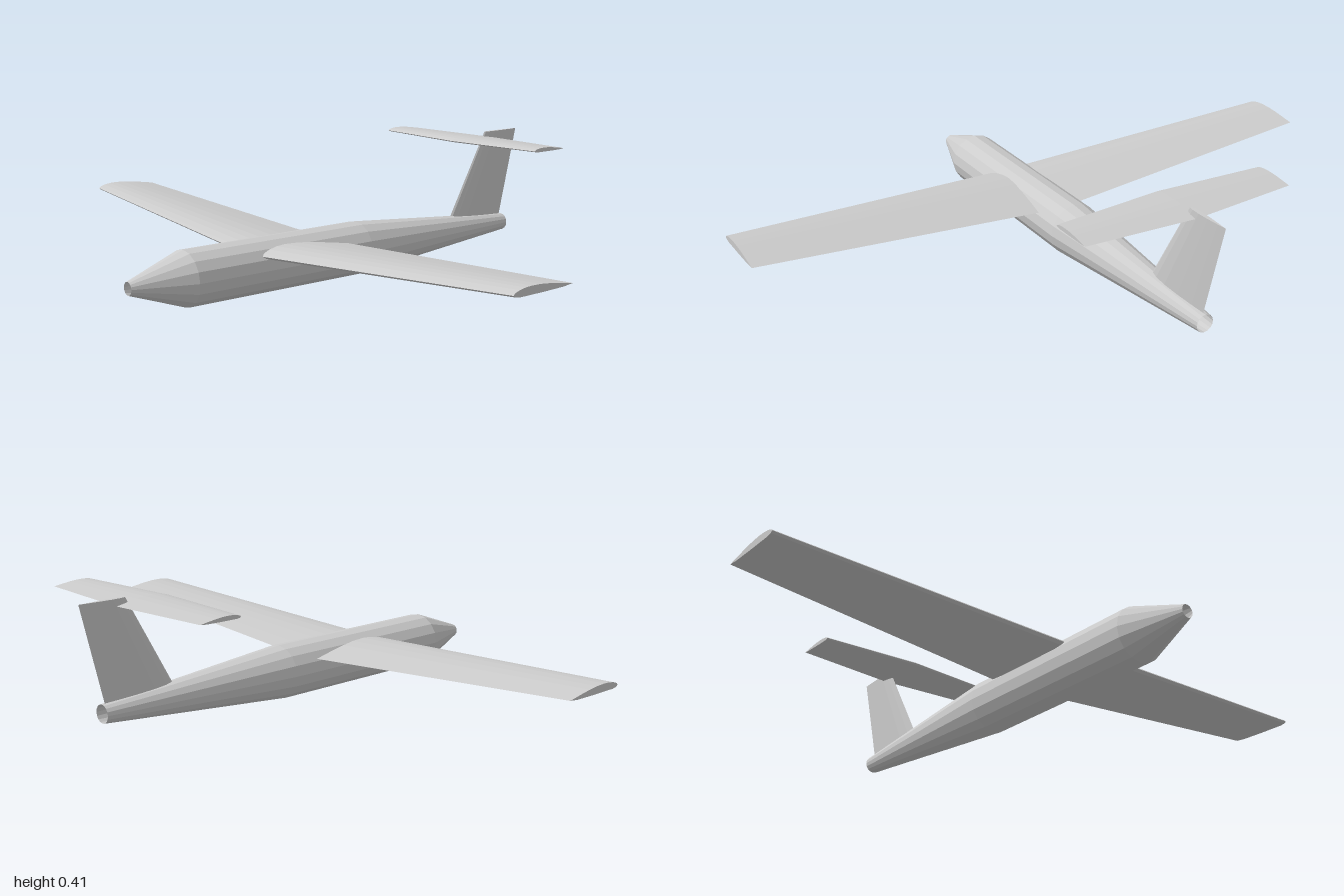
import * as THREE from 'three';

const material = new THREE.MeshStandardMaterial({ color: 0xcccccc, flatShading: true, side: THREE.DoubleSide });

// Lifting section in chord units: leading edge, over the top, back along the bottom
const WING_FOIL = [
  [0, 0.035], [0.025, 0.06], [0.1, 0.085], [0.2, 0.1], [0.3, 0.105], [0.45, 0.1], [0.6, 0.085],
  [0.8, 0.055], [1, 0.022], [0.85, 0.006], [0.5, 0], [0.1, 0], [0.03, 0.012],
];
// Symmetric section for the fin, half thickness as a fraction
const HALF = [[0.03, 0.4], [0.12, 0.8], [0.3, 1], [0.55, 0.8], [0.8, 0.4]];
const FIN_FOIL = [
  [0, 0], ...HALF.map(([c, t]) => [c, -t]), [1, 0], ...[...HALF].reverse(),
];

// Skin a series of equal-length point loops and close both ends
function loft(name, sections) {
  const n = sections[0].length;
  const index = [];
  for (let i = 0; i < sections.length - 1; i++) {
    for (let j = 0; j < n; j++) {
      const k = (j + 1) % n;
      const a = i * n + j, b = i * n + k, c = b + n, d = a + n;
      index.push(a, d, c, a, c, b);
    }
  }
  const last = (sections.length - 1) * n;
  for (let j = 1; j < n - 1; j++) {
    index.push(0, j, j + 1, last, last + j + 1, last + j);
  }
  const geometry = new THREE.BufferGeometry();
  geometry.setAttribute('position', new THREE.Float32BufferAttribute(sections.flat(2), 3));
  geometry.setIndex(index);
  geometry.computeVertexNormals();
  return part(name, geometry);
}

function part(name, geometry) {
  const mesh = new THREE.Mesh(geometry, material);
  mesh.name = name;
  return mesh;
}

// Section across the span at x, from leading edge zFront to trailing edge zBack
function spanSection(x, y, zFront, zBack, scale = 1) {
  const chord = zFront - zBack;
  return WING_FOIL.map(([c, t]) => [x, y + t * chord * scale, zFront - c * chord]);
}

// Section of the fin at height y
function finSection(y, zFront, zBack, half) {
  return FIN_FOIL.map(([c, t]) => [t * half, y, zFront - c * (zFront - zBack)]);
}

export function createModel() {
  const model = new THREE.Group();
  model.name = 'glider';

  // Fuselage: open-ended tapering tube
  const profile = [[0.028, -0.72], [0.085, -0.05], [0.085, 0.6], [0.02, 0.785]];
  const body = new THREE.LatheGeometry(profile.map(([r, z]) => new THREE.Vector2(r, z)), 16);
  body.rotateX(Math.PI / 2);
  body.translate(0, 0.085, 0);
  model.add(part('fuselage', body));

  // Main wing with dihedral
  model.add(loft('wing', [
    spanSection(-1, 0.175, 0.302, 0.082),
    spanSection(0, 0.112, 0.375, 0.04),
    spanSection(1, 0.175, 0.302, 0.082),
  ]));

  // Swept fin
  model.add(loft('fin', [
    finSection(0.105, -0.456, -0.708, 0.011),
    finSection(0.408, -0.63, -0.785, 0.007),
  ]));

  // Tailplane high on the fin
  model.add(loft('tailplane', [
    spanSection(-0.345, 0.385, -0.5, -0.64, 0.9),
    spanSection(0, 0.383, -0.475, -0.665, 0.9),
    spanSection(0.345, 0.385, -0.5, -0.64, 0.9),
  ]));

  return model;
}
